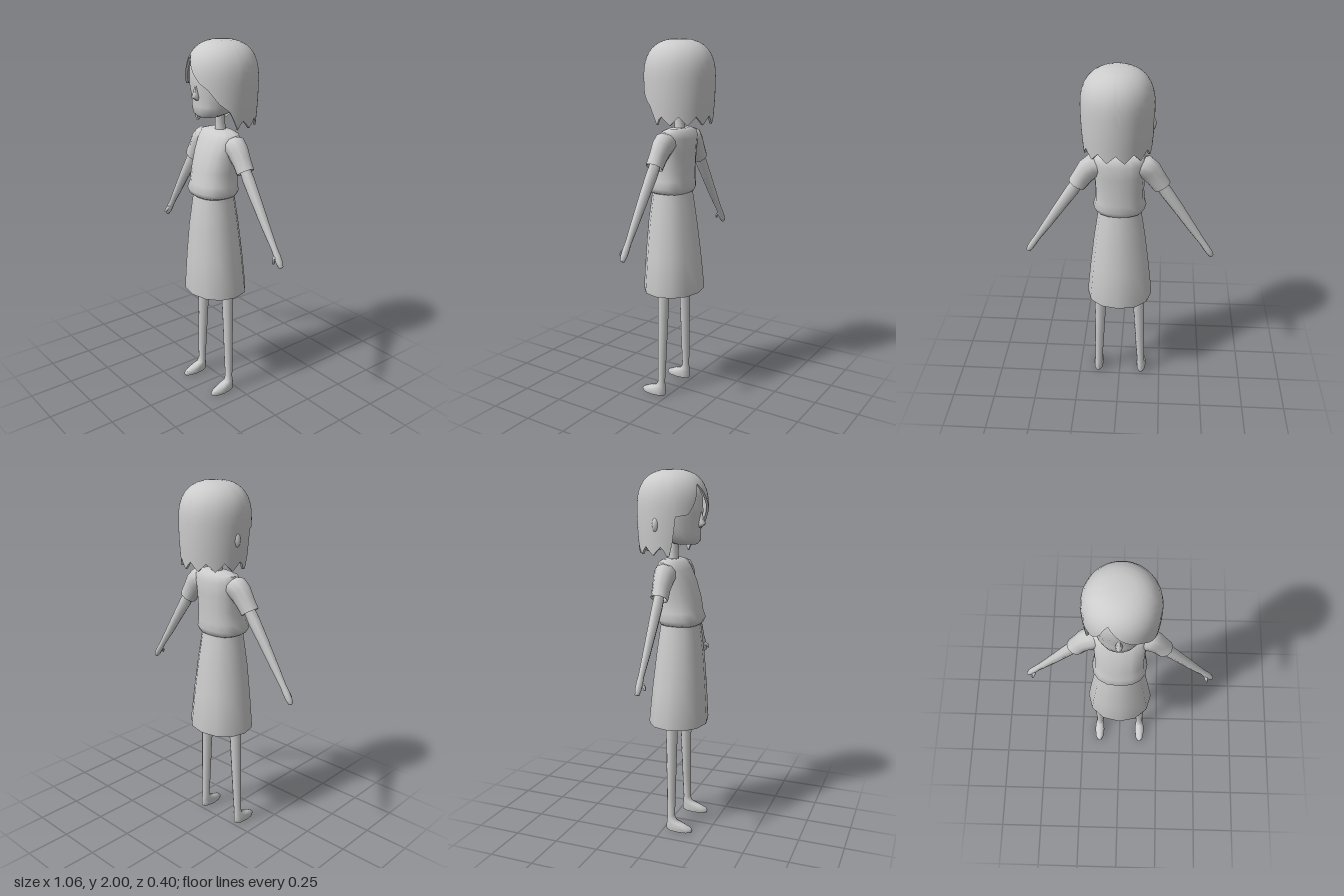
import * as THREE from 'three';
import { toCreasedNormals } from 'three/addons/utils/BufferGeometryUtils.js';

const material = new THREE.MeshStandardMaterial({ color: 0xcccccc, side: THREE.DoubleSide });

// Skin a grid of points: rows run downwards, columns wrap around.
function skin(name, rows, cols, point, crease = 1.1) {
  const pos = [], index = [];
  for (let i = 0; i < rows; i++) {
    for (let j = 0; j < cols; j++) {
      pos.push(...point(i, j));
      if (i === rows - 1) continue;
      const k = (j + 1) % cols, a = i * cols, b = a + cols;
      index.push(a + j, a + k, b + j, a + k, b + k, b + j);
    }
  }
  const geo = new THREE.BufferGeometry();
  geo.setAttribute('position', new THREE.Float32BufferAttribute(pos, 3));
  geo.setIndex(index);
  const mesh = new THREE.Mesh(toCreasedNormals(geo, crease), material);
  mesh.name = name;
  return mesh;
}

// Loft of elliptical rings [x, y, z, radius, depth radius, tilt]; side -1 mirrors in x.
function loft(name, rings, { sides = 10, side = 1, square = 1, crease } = {}) {
  const soft = (v) => Math.sign(v) * Math.abs(v) ** square;
  return skin(name, rings.length, sides, (i, j) => {
    const [x, y, z, r, d, tilt = 0] = rings[i];
    const t = (j / sides) * Math.PI * 2;
    const u = soft(Math.cos(t)) * r, w = soft(Math.sin(t)) * d;
    return [side * x + u * Math.cos(tilt), y + u * Math.sin(tilt * side), z + w];
  }, crease);
}

// Piecewise linear lookup in [key, value] pairs.
function lookup(table, v) {
  for (let i = 1; i < table.length; i++) {
    const [k0, v0] = table[i - 1], [k1, v1] = table[i];
    if (v <= k1) return v0 + ((v1 - v0) * (v - k0)) / (k1 - k0);
  }
  return table[table.length - 1][1];
}

// Height of the hair's lower edge by angle from the front, in degrees.
const hairEdge = [[-180, 1.56], [-86, 1.56], [-72, 1.56], [-66, 1.76], [-45, 1.77], [-32, 1.83],
  [-22, 1.93], [-10, 1.89], [0, 1.85], [15, 1.8], [32, 1.765], [48, 1.7], [66, 1.655], [80, 1.56], [180, 1.56]];

function hair() {
  const cols = 72, outer = 13, inner = 6;
  return skin('hair', outer + inner, cols, (i, j) => {
    let deg = 90 - (j * 360) / cols;
    if (deg < -180) deg += 360;
    let edge = lookup(hairEdge, deg);
    // jagged tips around the sides and back
    if (Math.abs(deg) > 80) edge += 0.045 * Math.abs(((j % 6) - 3) / 3);
    const inside = i >= outer;
    const v = inside ? 1 - (i - outer) * 0.1 : i / (outer - 1);
    const y = 2 - (2 - edge) * v ** 1.8;
    const r = y > 1.8
      ? Math.max(0, 1 - ((y - 1.8) / 0.2) ** 2.5) ** (1 / 2.5)
      : 1 - 0.07 * ((1.8 - y) / 0.24) ** 2;
    const k = inside ? r * 0.93 : r, a = THREE.MathUtils.degToRad(deg);
    return [0.008 + 0.188 * k * Math.sin(a), y, -0.004 + 0.192 * k * Math.cos(a)];
  });
}

function ball(name, x, y, z, sx, sy, sz) {
  const mesh = new THREE.Mesh(new THREE.SphereGeometry(1, 10, 8), material);
  mesh.name = name;
  mesh.position.set(x, y, z);
  mesh.scale.set(sx, sy, sz);
  return mesh;
}

export function createModel() {
  const model = new THREE.Group();
  model.name = 'girl';

  // Head and neck
  model.add(loft('head', [
    [0, 1.965, 0, 0, 0], [0, 1.95, 0, 0.08, 0.08], [0, 1.92, 0, 0.125, 0.13], [0, 1.86, 0, 0.15, 0.158],
    [0, 1.78, 0.005, 0.145, 0.158], [0, 1.72, 0.015, 0.132, 0.138], [0, 1.67, 0.03, 0.12, 0.122],
    [0, 1.63, 0.06, 0.092, 0.093], [0, 1.612, 0.075, 0.055, 0.06], [0, 1.608, 0.07, 0, 0],
  ], { sides: 18, square: 0.9 }));
  model.add(loft('nose', [
    [0, 1.785, 0.155, 0.006, 0.006], [0, 1.74, 0.157, 0.013, 0.02],
    [0, 1.718, 0.158, 0.018, 0.028], [0, 1.702, 0.15, 0.012, 0.012], [0, 1.7, 0.148, 0, 0],
  ], { sides: 8 }));
  model.add(loft('neck', [[0, 1.66, 0.01, 0.03, 0.03], [0, 1.57, 0.003, 0.027, 0.027], [0, 1.51, 0, 0.035, 0.032]]));
  model.add(ball('rightEar', -0.158, 1.72, -0.03, 0.03, 0.045, 0.022));
  model.add(ball('leftEar', 0.145, 1.72, -0.02, 0.03, 0.045, 0.022));
  model.add(hair());

  // Shirt body with a folded hem
  model.add(loft('shirt', [
    [0, 1.535, 0, 0, 0], [0, 1.533, 0, 0.09, 0.04], [0, 1.52, 0.003, 0.135, 0.062], [0, 1.48, 0.01, 0.142, 0.083],
    [0, 1.41, 0.027, 0.136, 0.098], [0, 1.32, 0.041, 0.132, 0.111], [0, 1.25, 0.047, 0.134, 0.117],
    [0, 1.21, 0.053, 0.146, 0.124], [0, 1.185, 0.051, 0.131, 0.114], [0, 1.175, 0.05, 0.11, 0.1],
  ], { sides: 16, square: 0.85 }));

  // Skirt, open at the bottom with a turned hem
  model.add(loft('skirt', [
    [0, 1.2, 0.047, 0.115, 0.103], [0, 1.15, 0.047, 0.122, 0.112], [0, 1.0, 0.046, 0.145, 0.132],
    [0, 0.82, 0.042, 0.167, 0.149], [0, 0.63, 0.038, 0.187, 0.163], [0, 0.612, 0.038, 0.185, 0.161],
    [0, 0.625, 0.038, 0.176, 0.152], [0, 0.82, 0.042, 0.158, 0.14],
  ], { sides: 12, square: 0.95 }));

  for (const side of [1, -1]) {
    const label = (part) => (side > 0 ? 'left' : 'right') + part;
    const add = (part, rings, sides) => model.add(loft(label(part), rings, { sides, side }));

    // Sleeve, open at the cuff
    const mirrorTilt = (rings) => rings;
    add('Sleeve', mirrorTilt([
      [0.09, 1.462, 0.008, 0.05, 0.05, 1.4], [0.135, 1.462, 0.008, 0.064, 0.06, 1.1], [0.165, 1.435, 0.01, 0.063, 0.054, 0.8],
      [0.195, 1.393, 0.011, 0.055, 0.047, 0.62], [0.228, 1.344, 0.013, 0.051, 0.046, 0.56],
      [0.226, 1.348, 0.013, 0.042, 0.037, 0.56], [0.2, 1.388, 0.011, 0.038, 0.034, 0.6],
    ]), 10);

    // Arm ending in a mitten hand with a thumb
    add('Arm', [
      [0.195, 1.4, 0.01, 0.03, 0.026, 0.6], [0.255, 1.305, 0.012, 0.036, 0.028, 0.59], [0.32, 1.21, 0.013, 0.031, 0.025, 0.59],
      [0.4, 1.09, 0.013, 0.025, 0.02, 0.59], [0.465, 0.995, 0.012, 0.018, 0.015, 0.59], [0.487, 0.962, 0.012, 0.019, 0.018, 0.59],
      [0.506, 0.932, 0.012, 0.018, 0.017, 0.59], [0.52, 0.91, 0.012, 0.013, 0.012, 0.59], [0.522, 0.906, 0.012, 0, 0, 0.59],
    ], 8);
    add('Thumb', [
      [0.478, 0.965, 0.02, 0.009, 0.009, 0.59], [0.487, 0.95, 0.035, 0.01, 0.01, 0.59],
      [0.494, 0.932, 0.042, 0.007, 0.007, 0.59], [0.496, 0.927, 0.043, 0, 0, 0.59],
    ], 6);

    // Leg and foot in one skin
    add('Leg', [
      [0.1, 0.9, 0.038, 0.037, 0.035], [0.111, 0.61, 0.037, 0.035, 0.033], [0.119, 0.4, 0.038, 0.03, 0.028],
      [0.127, 0.2, 0.04, 0.026, 0.024], [0.132, 0.085, 0.041, 0.022, 0.021], [0.133, 0.058, 0.046, 0.025, 0.028],
      [0.134, 0.043, 0.067, 0.028, 0.052], [0.135, 0.026, 0.088, 0.03, 0.074], [0.135, 0.01, 0.092, 0.03, 0.079],
      [0.135, 0, 0.092, 0.028, 0.076], [0.135, 0, 0.092, 0, 0],
    ], 10);
  }
  return model;
}
